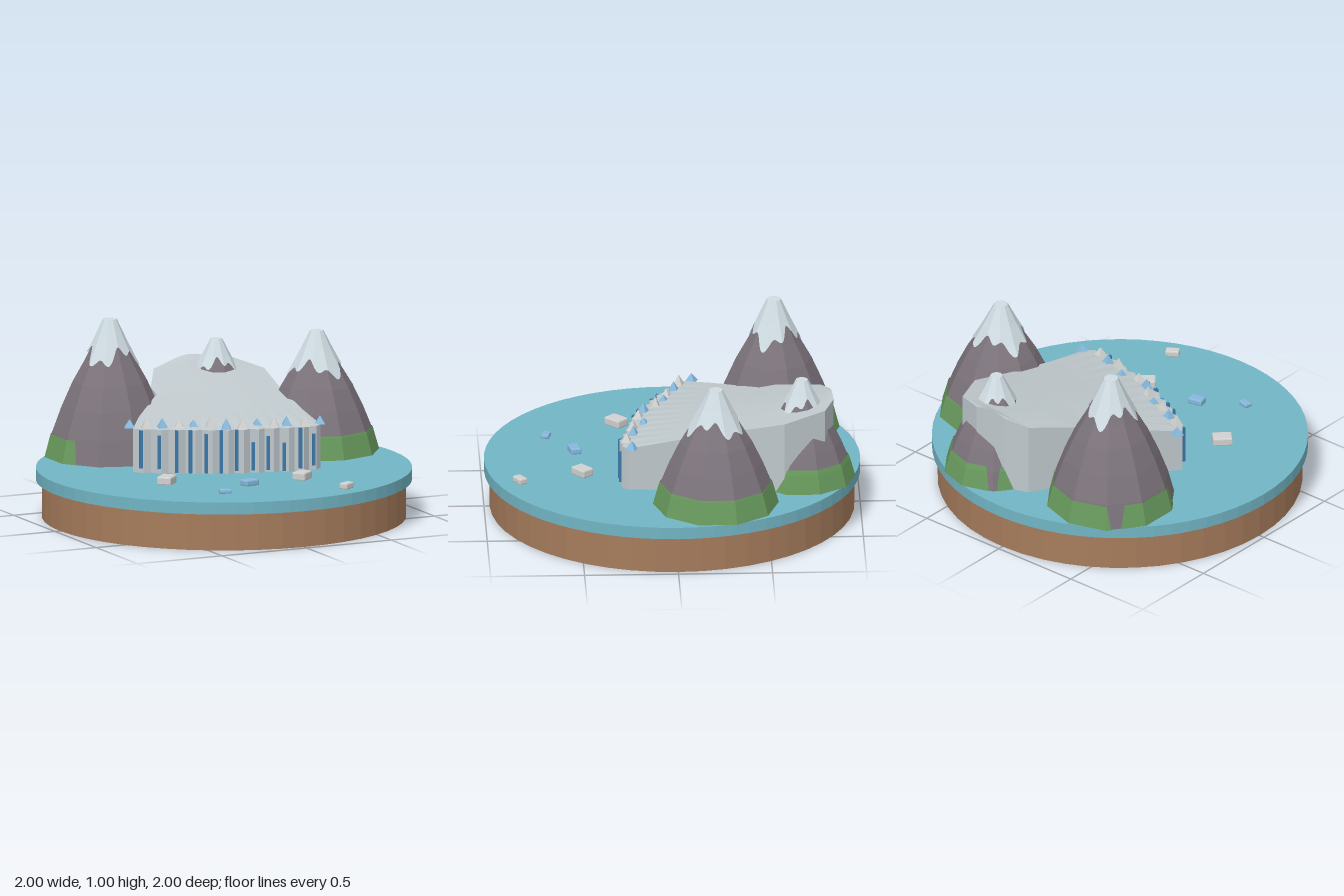
import * as THREE from 'three';
import { RoundedBoxGeometry } from 'three/addons/geometries/RoundedBoxGeometry.js';

const GROUND = 0.265;
const DEG = Math.PI / 180;

const mat = (name, color) => {
  const m = new THREE.MeshStandardMaterial({ color, flatShading: true });
  m.name = name;
  return m;
};

function geometryFrom(points, index) {
  const g = new THREE.BufferGeometry();
  g.setAttribute('position', new THREE.Float32BufferAttribute(points, 3));
  g.setIndex(index);
  const flat = g.toNonIndexed();
  flat.computeVertexNormals();
  return flat;
}

// Mountain profile: [height fraction, radius fraction]
const PROFILE = [[0, 1], [0.18, 0.9], [0.37, 0.75], [0.55, 0.58], [0.7, 0.4], [0.85, 0.24], [1, 0.09]];
function profileRadius(t) {
  for (let i = 1; i < PROFILE.length; i++) {
    const [t0, r0] = PROFILE[i - 1], [t1, r1] = PROFILE[i];
    if (t <= t1) return r0 + (r1 - r0) * (t - t0) / (t1 - t0);
  }
  return PROFILE[PROFILE.length - 1][1];
}

// Ten-sided shell of a mountain between two height functions of the angle
function mountainShell(radius, height, lo, hi, offset, capped) {
  const sides = 10, cols = 80, points = [], index = [];
  const rows = PROFILE.length;
  for (let j = 0; j <= cols; j++) {
    const a = (j % cols) / cols * Math.PI * 2;
    const step = Math.PI * 2 / sides;
    const facet = Math.cos(step / 2) / Math.cos((a % step) - step / 2);
    for (const [level] of PROFILE) {
      const t = Math.min(Math.max(level, lo(a)), hi(a));
      const r = (profileRadius(t) * radius + offset) * facet;
      points.push(Math.sin(a) * r, t * height, Math.cos(a) * r);
    }
  }
  const top = points.length / 3;
  points.push(0, height, 0);
  for (let j = 0; j < cols; j++) {
    const p = j * rows, q = p + rows;
    for (let i = 0; i < rows - 1; i++) index.push(p + i, q + i, q + i + 1, p + i, q + i + 1, p + i + 1);
    if (capped) index.push(p + rows - 1, q + rows - 1, top);
  }
  return geometryFrom(points, index);
}

// Front edge of the glacier, from -x to +x
const FRONT = [[-0.5, -0.07], [-0.36, 0.03], [-0.1, 0.165], [0.02, 0.205], [0.2, 0.245], [0.35, 0.285], [0.45, 0.26]];
function frontZ(x) {
  for (let i = 1; i < FRONT.length; i++) {
    const [x0, z0] = FRONT[i - 1], [x1, z1] = FRONT[i];
    if (x <= x1) return z0 + (z1 - z0) * (x - x0) / (x1 - x0);
  }
  return FRONT[FRONT.length - 1][1];
}

// Cross rows behind the front: left x, z, y, then right x, z, y
const ROWS = [
  [-0.5, -0.07, 0.5, 0.45, 0.26, 0.5],
  [-0.39, -0.23, 0.53, 0.455, 0, 0.545],
  [-0.17, -0.47, 0.59, 0.48, -0.3, 0.6],
  [-0.16, -0.56, 0.61, 0.52, -0.58, 0.655],
  [-0.03, -0.79, 0.66, 0.42, -0.8, 0.69],
  [0.1, -0.835, 0.69, 0.28, -0.85, 0.7],
];

function glacierGeometry() {
  const cols = 24, grid = [], points = [], index = [];
  ROWS.forEach(([lx, lz, ly, rx, rz, ry], i) => {
    for (let j = 0; j <= cols; j++) {
      const u = j / cols, x = lx + (rx - lx) * u;
      const z = i === 0 ? frontZ(x) + (j % 2 ? 0.012 : -0.01) : lz + (rz - lz) * u;
      const bulge = i === 0 ? 0 : 0.015 * Math.sin(Math.PI * u);
      grid.push([x, ly + (ry - ly) * u + bulge, z]);
    }
  });
  grid.forEach((p) => points.push(...p));
  const id = (i, j) => i * (cols + 1) + j;
  const last = ROWS.length - 1;
  for (let i = 0; i < last; i++) for (let j = 0; j < cols; j++) {
    index.push(id(i, j), id(i, j + 1), id(i + 1, j + 1), id(i, j), id(i + 1, j + 1), id(i + 1, j));
  }
  // Vertical walls around the edge
  const rim = [];
  for (let j = 0; j < cols; j++) rim.push(id(0, j));
  for (let i = 0; i < last; i++) rim.push(id(i, cols));
  for (let j = cols; j > 0; j--) rim.push(id(last, j));
  for (let i = last; i > 0; i--) rim.push(id(i, 0));
  const base = points.length / 3, n = rim.length;
  rim.forEach((k) => points.push(grid[k][0], GROUND, grid[k][2]));
  for (let k = 0; k < n; k++) {
    const m = (k + 1) % n;
    index.push(base + k, base + m, rim[m], base + k, rim[m], rim[k]);
  }
  return geometryFrom(points, index);
}

export function createModel() {
  const root = new THREE.Group();
  root.name = 'glacierDiorama';
  const earth = mat('earth brown', 0xa67c5c);
  const water = mat('sea blue', 0x72b5c4);
  const rock = mat('mountain rock', 0x7c737b);
  const grass = mat('grass green', 0x67995c);
  grass.side = THREE.DoubleSide;
  const snow = mat('snow', 0xcfdce2);
  snow.side = THREE.DoubleSide;
  const ice = mat('glacier ice', 0xbfc8cc);
  const paleIce = mat('pale ice', 0xd0d1cf);
  const blueIce = mat('blue ice', 0x86b8dc);
  const crack = mat('deep crevasse blue', 0x3c78a8);

  const add = (name, geometry, material, x = 0, y = 0, z = 0, parent = root) => {
    const mesh = new THREE.Mesh(geometry, material);
    mesh.name = name;
    mesh.position.set(x, y, z);
    parent.add(mesh);
    return mesh;
  };

  // Round base and water
  add('earthBase', new THREE.CylinderGeometry(0.97, 0.97, 0.2, 48), earth, 0, 0.1, 0);
  add('sea', new THREE.CylinderGeometry(1, 1, GROUND - 0.2, 64), water, 0, (0.2 + GROUND) / 2, 0);

  // Mountains with grassy feet and ragged snow caps
  const mountains = [
    { name: 'tallMountain', x: -0.405, z: -0.555, r: 0.345, top: 1, snowLine: 0.74, grassFrom: 100, grassTo: 300, gap: 225, seed: 1 },
    { name: 'sideMountain', x: 0.65, z: -0.21, r: 0.33, top: 0.91, snowLine: 0.7, grassFrom: 0, grassTo: 360, gap: -99, seed: 4 },
    { name: 'rearMountain', x: 0.285, z: -0.68, r: 0.28, top: 0.815, snowLine: 0.76, grassFrom: 0, grassTo: 360, gap: 215, seed: 2.4 },
  ];
  for (const m of mountains) {
    const group = new THREE.Group();
    group.name = m.name;
    group.position.set(m.x, GROUND, m.z);
    root.add(group);
    const h = m.top - GROUND;
    const grassTop = (a) => {
      const d = a / DEG;
      return d < m.grassFrom || d > m.grassTo || Math.abs(d - m.gap) < 7 ? 0 : 0.125 / h;
    };
    const snowBottom = (a) => m.snowLine + 0.05 * Math.sin(3 * a + m.seed) + 0.035 * Math.sin(8 * a + 2 * m.seed);
    add('rock', mountainShell(m.r, h, () => 0, () => 1, 0, true), rock, 0, 0, 0, group);
    add('grassFoot', mountainShell(m.r, h, () => 0, grassTop, 0.005, false), grass, 0, 0, 0, group);
    const cap = add('snowCap', mountainShell(m.r, h, snowBottom, () => 1, 0.007, true), snow, 0, 0.003, 0, group);
    cap.scale.y = 1.0;
  }

  // Glacier body
  add('glacier', glacierGeometry(), ice);

  // Pinnacles along the front rim, blue and pale in turn: [x, z]
  const pinnacles = [[-0.5, -0.12], [-0.435, -0.05], [-0.355, -0.02], [-0.275, 0.02], [-0.2, 0.04], [-0.125, 0.085],
    [-0.06, 0.15], [0.02, 0.18], [0.12, 0.155], [0.19, 0.215], [0.265, 0.215], [0.35, 0.255], [0.455, 0.23]];
  pinnacles.forEach(([x, z], i) => {
    const h = 0.045 + 0.018 * ((i * 3) % 4) / 3;
    const spike = add('icePinnacle', new THREE.ConeGeometry(0.038, h, 4), i % 2 ? paleIce : blueIce, x, 0.5 + h / 2, z);
    spike.rotation.y = (20 + (i % 3) * 8) * DEG;
  });

  // Dark crevasses down the ice front: [x, bottom, top]
  const crevasses = [[-0.47, 0.29, 0.495], [-0.39, 0.29, 0.47], [-0.31, 0.27, 0.5], [-0.245, 0.27, 0.5],
    [-0.17, 0.27, 0.48], [-0.1, 0.27, 0.5], [-0.02, 0.28, 0.5], [0.065, 0.28, 0.43], [0.145, 0.28, 0.46],
    [0.23, 0.27, 0.42], [0.315, 0.28, 0.5], [0.395, 0.29, 0.46]];
  for (const [x, y0, y1] of crevasses) {
    const bar = add('crevasse', new THREE.BoxGeometry(0.018, y1 - y0, 0.03), crack, x, (y0 + y1) / 2, frontZ(x) + 0.005);
    bar.rotation.y = -22 * DEG;
  }

  // Drifting ice blocks: [x, z, length, width, height, turn, material]
  const floes = [
    [-0.475, 0.28, 0.105, 0.08, 0.045, 45, paleIce],
    [0.225, 0.485, 0.1, 0.075, 0.045, 40, paleIce],
    [0.325, 0.82, 0.075, 0.05, 0.035, 32, paleIce],
    [-0.1, 0.515, 0.085, 0.06, 0.035, 12, blueIce],
    [-0.315, 0.66, 0.065, 0.045, 0.025, -15, blueIce],
  ];
  for (const [x, z, l, w, h, turn, material] of floes) {
    const floe = add('iceFloe', new RoundedBoxGeometry(l, h, w, 1, 0.008), material, x, GROUND + h / 2 - 0.003, z);
    floe.rotation.y = turn * DEG;
  }

  return root;
}
